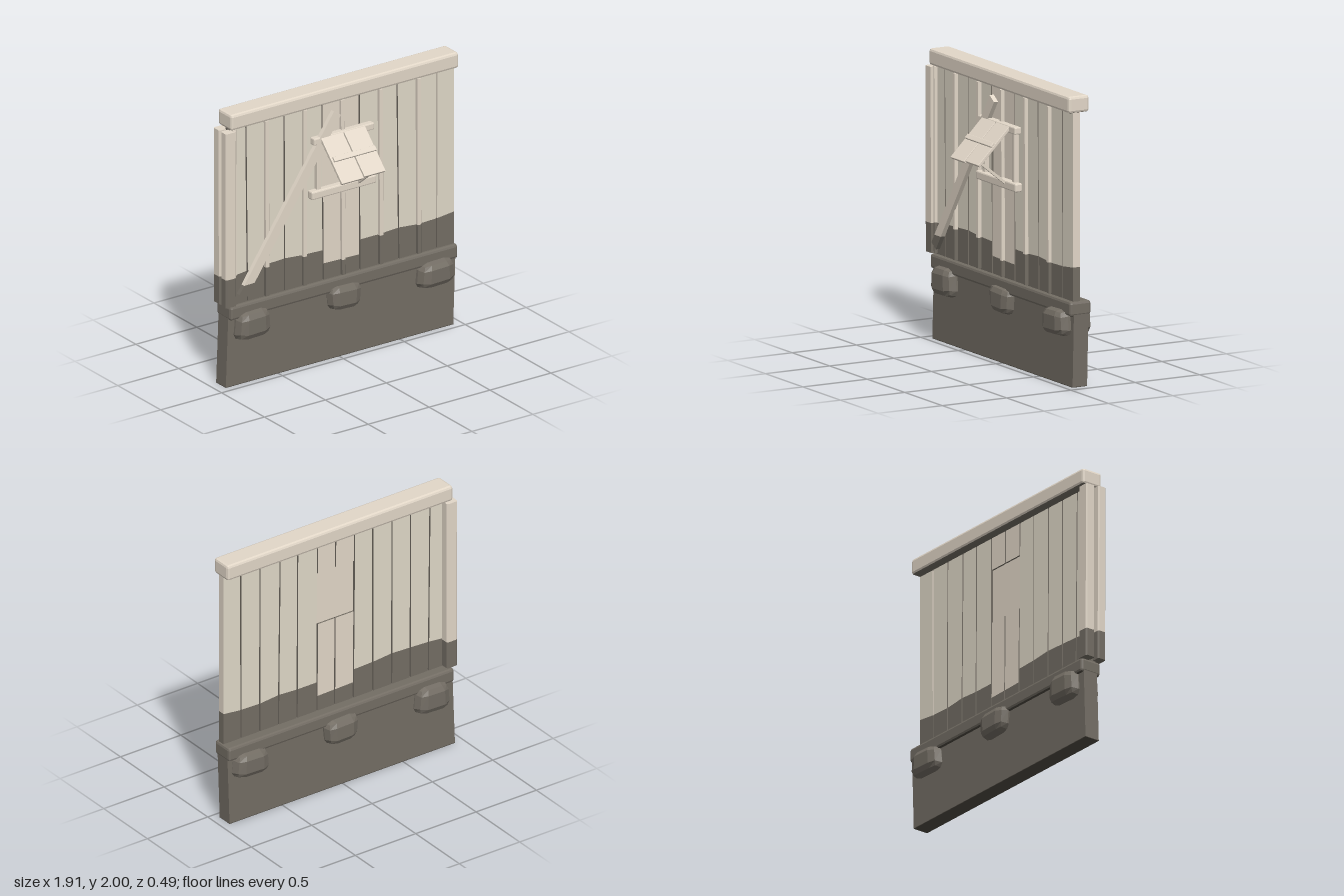
import * as THREE from 'three';
import { RoundedBoxGeometry } from 'three/addons/geometries/RoundedBoxGeometry.js';

const flat = (name, color) => new THREE.MeshStandardMaterial({ name, color, flatShading: true });
const pale = flat('pale wood', 0xe2d7c8);
const grey = flat('greyed plank wood', 0xe0d8c8);
const dark = flat('dark base', 0x736d64);
const deep = flat('deep underside', 0x4c4840);

export function createModel() {
  const model = new THREE.Group();

  function add(name, geometry, material, parent = model) {
    const mesh = new THREE.Mesh(geometry, material);
    mesh.name = name;
    parent.add(mesh);
    return mesh;
  }

  // Chamfered beam given by its limits on each axis, with an optional underside colour
  function beam(name, [x0, x1], [y0, y1], [z0, z1], m, bevel = 0.008, parent = model, under = m) {
    const g = new RoundedBoxGeometry(x1 - x0, y1 - y0, z1 - z0, 1, bevel);
    const mesh = add(name, g, [m, m, m, under, m, m], parent);
    mesh.position.set((x0 + x1) / 2, (y0 + y1) / 2, (z0 + z1) / 2);
  }

  // Flat board: outline in x and y, between two depths, with an optional edge colour
  function board(name, points, z0, z1, material, edge = material) {
    const shape = new THREE.Shape(points.map(p => new THREE.Vector2(...p)));
    const g = new THREE.ExtrudeGeometry(shape, { depth: z1 - z0, bevelEnabled: false });
    add(name, g.translate(0, 0, z0), [material, edge]);
  }

  // Upright strip with chamfered corners, in a dark and a pale length
  function strip(name, xBottom, xTop, width, z0, z1, y0, ySplit, y1, c) {
    const w = width / 2, d = (z1 - z0) / 2;
    const corners = [[-w + c, -d], [w - c, -d], [w, -d + c], [w, d - c],
      [w - c, d], [-w + c, d], [-w, d - c], [-w, -d + c]];
    const shape = new THREE.Shape(corners.map(p => new THREE.Vector2(...p)));
    const lean = (xTop - xBottom) / (y1 - y0);
    for (const [a, b, m] of [[y0, ySplit, dark], [ySplit, y1, pale]]) {
      const g = new THREE.ExtrudeGeometry(shape, { depth: b - a, bevelEnabled: false });
      g.rotateX(-Math.PI / 2).translate(0, a, (z0 + z1) / 2);
      const p = g.attributes.position;
      for (let i = 0; i < p.count; i++) p.setX(i, p.getX(i) + xBottom + lean * (p.getY(i) - y0));
      g.computeVertexNormals();
      add(name, g, m);
    }
  }

  // Foundation slab with a deep-coloured sole
  board('foundation', [[-0.93, 0.004], [0.937, 0.004], [0.955, 0.52], [-0.91, 0.52]], -0.163, -0.05, dark);
  const sole = add('foundationSole', new THREE.BoxGeometry(1.867, 0.004, 0.113), deep);
  sole.position.set(0.0035, 0.002, -0.1065);

  // Sill and top beam
  beam('sillBeam', [-0.912, 0.957], [0.49, 0.592], [-0.184, -0.02], dark, 0.018, model, deep);
  beam('topBeam', [-0.912, 0.957], [1.885, 2], [-0.17, -0.01], pale, 0.018, model, dark);

  // Wall planks: seam positions at the bottom and at the top
  const bottom = [-0.9, -0.752, -0.602, -0.448, -0.292, -0.13, 0.025, 0.17, 0.335, 0.49, 0.645, 0.8, 0.948];
  const top = [-0.9, -0.766, -0.605, -0.452, -0.292, -0.142, 0.015, 0.165, 0.33, 0.475, 0.642, 0.802, 0.948];
  const split = [0.8, 0.815, 0.822, 0.828, 0.815, 0.81, 0.708, 0.705, 0.812, 0.82, 0.806, 0.81, 0.825];
  const yLow = 0.58, yHigh = 1.9, gap = 0.005;
  const windowLow = 1.26, windowHigh = 1.65;
  const seam = (k, y) => THREE.MathUtils.lerp(bottom[k], top[k], (y - yLow) / (yHigh - yLow));
  for (let i = 0; i < 12; i++) {
    const middle = i === 5 || i === 6;
    const left = i === 5 ? 0.712 : i === 7 ? 0.812 : split[i];
    const right = split[i + 1];
    // The last plank shows its end grain, so its edge stays pale
    const edge = i === 11 ? pale : dark;
    const piece = (a0, a1, b0, b1, m, e) => board('wallPlank', [
      [seam(i, a0) + gap, a0], [seam(i + 1, a1) - gap, a1],
      [seam(i + 1, b1) - gap, b1], [seam(i, b0) + gap, b0]], -0.104, -0.05, m, e);
    piece(yLow, yLow, left, right, dark, dark);
    if (middle) {
      piece(left, right, windowLow, windowLow, pale, edge);
      piece(windowHigh, windowHigh, yHigh, yHigh, pale, edge);
    } else piece(left, right, yHigh, yHigh, grey, edge);
  }

  // Dark backing inside the seams, and the panel closing the window opening
  board('seamBacking', [[-0.89, yLow], [0.935, yLow], [0.935, yHigh], [-0.89, yHigh]], -0.084, -0.07, dark);
  board('windowPanel', [[-0.137, windowLow], [0.166, windowLow], [0.166, windowHigh], [-0.137, windowHigh]],
    -0.092, -0.062, pale);

  // Narrow battens over every second seam
  [0, 2, 4, 6, 8, 10].forEach(i => {
    const x = i === 0 ? -0.872 : bottom[i];
    const xt = i === 0 ? -0.874 : top[i];
    strip('batten', x, xt, 0.029, -0.052, -0.025, 0.6, i === 6 ? 0.71 : 0.81, 1.88, 0.003);
  });

  // Pair of end posts
  strip('frontEndPost', -0.912, -0.915, 0.086, -0.072, -0.008, 0.6, 0.805, 1.875, 0.009);
  strip('backEndPost', -0.905, -0.907, 0.086, -0.169, -0.097, 0.6, 0.8, 1.87, 0.009);

  // Diagonal brace with a dark foot
  const from = new THREE.Vector2(-0.825, 0.66), to = new THREE.Vector2(-0.05, 1.81);
  const dir = to.clone().sub(from).normalize();
  const side = new THREE.Vector2(dir.y, -dir.x).multiplyScalar(0.035);
  const onBrace = (t, s) => from.clone().lerp(to, t).addScaledVector(side, s).toArray();
  const brace = (a, b, c, d, m) => board('diagonalBrace',
    [onBrace(a, -1), onBrace(b, 1), onBrace(c, 1), onBrace(d, -1)], -0.03, 0.002, m);
  brace(0, 0, 0.085, 0.05, dark);
  brace(0.05, 0.085, 1, 1, pale);

  // Window frame
  beam('frameTop', [-0.24, 0.255], [1.615, 1.665], [-0.05, 0.002], pale);
  beam('frameBottom', [-0.26, 0.27], [1.222, 1.282], [-0.05, 0.006], pale, 0.01);
  for (const x of [-0.188, 0.207]) {
    beam('frameSide', [x - 0.017, x + 0.017], [1.27, 1.63], [-0.05, -0.015], pale, 0.004);
  }

  // Shutter propped open from its top edge
  const shutter = new THREE.Group();
  shutter.name = 'shutter';
  shutter.position.set(0, 1.658, -0.012);
  shutter.rotation.x = -Math.PI / 4;
  model.add(shutter);
  beam('shutterBoard', [-0.183, -0.004], [-0.358, 0], [-0.012, 0.01], pale, 0.003, shutter);
  beam('shutterBoard', [0.005, 0.178], [-0.35, 0], [-0.012, 0.01], pale, 0.003, shutter);
  beam('shutterBatten', [-0.17, 0.176], [-0.197, -0.16], [0.008, 0.026], pale, 0.004, shutter);

  // Prop stick under the shutter
  const propA = new THREE.Vector3(0.125, 1.255, -0.01), propB = new THREE.Vector3(0.128, 1.425, 0.2);
  const prop = add('shutterProp', new THREE.BoxGeometry(0.02, propA.distanceTo(propB), 0.018), pale);
  prop.position.copy(propA).add(propB).multiplyScalar(0.5);
  prop.quaternion.setFromUnitVectors(new THREE.Vector3(0, 1, 0), propB.clone().sub(propA).normalize());

  // Faceted stones straddling the sill
  const stones = [
    [[-0.862, -0.59], [0.33, 0.535], [-0.245, 0.037], 0.05],
    [[-0.102, 0.16], [0.352, 0.537], [-0.245, 0.025], -0.06],
    [[0.63, 0.915], [0.34, 0.525], [-0.24, 0.045], 0.06]];
  for (const [xs, ys, zs, skew] of stones) {
    const g = new THREE.BoxGeometry(2, 2, 2, 3, 3, 3);
    const p = g.attributes.position, v = new THREE.Vector3();
    const spread = c => Math.abs(c) < 0.5 ? Math.sign(c) * 0.52 : c;
    for (let i = 0; i < p.count; i++) {
      v.set(spread(p.getX(i)), spread(p.getY(i)), spread(p.getZ(i)));
      const r = Math.pow(v.x ** 4 + v.y ** 4 + v.z ** 4, 0.25);
      v.multiplyScalar(1.03 / r);
      v.x *= 1 - 0.07 * v.y * Math.sign(skew);
      v.y += skew * v.x * 0.8;
      v.z *= 1 - 0.08 * Math.abs(v.x);
      p.setXYZ(i, v.x, v.y, v.z);
    }
    const mid = ([a, b]) => (a + b) / 2, half = ([a, b]) => (b - a) / 2;
    g.scale(half(xs), half(ys), half(zs)).translate(mid(xs), mid(ys), mid(zs));
    g.computeVertexNormals();
    add('stone', g, dark);
  }

  return model;
}
